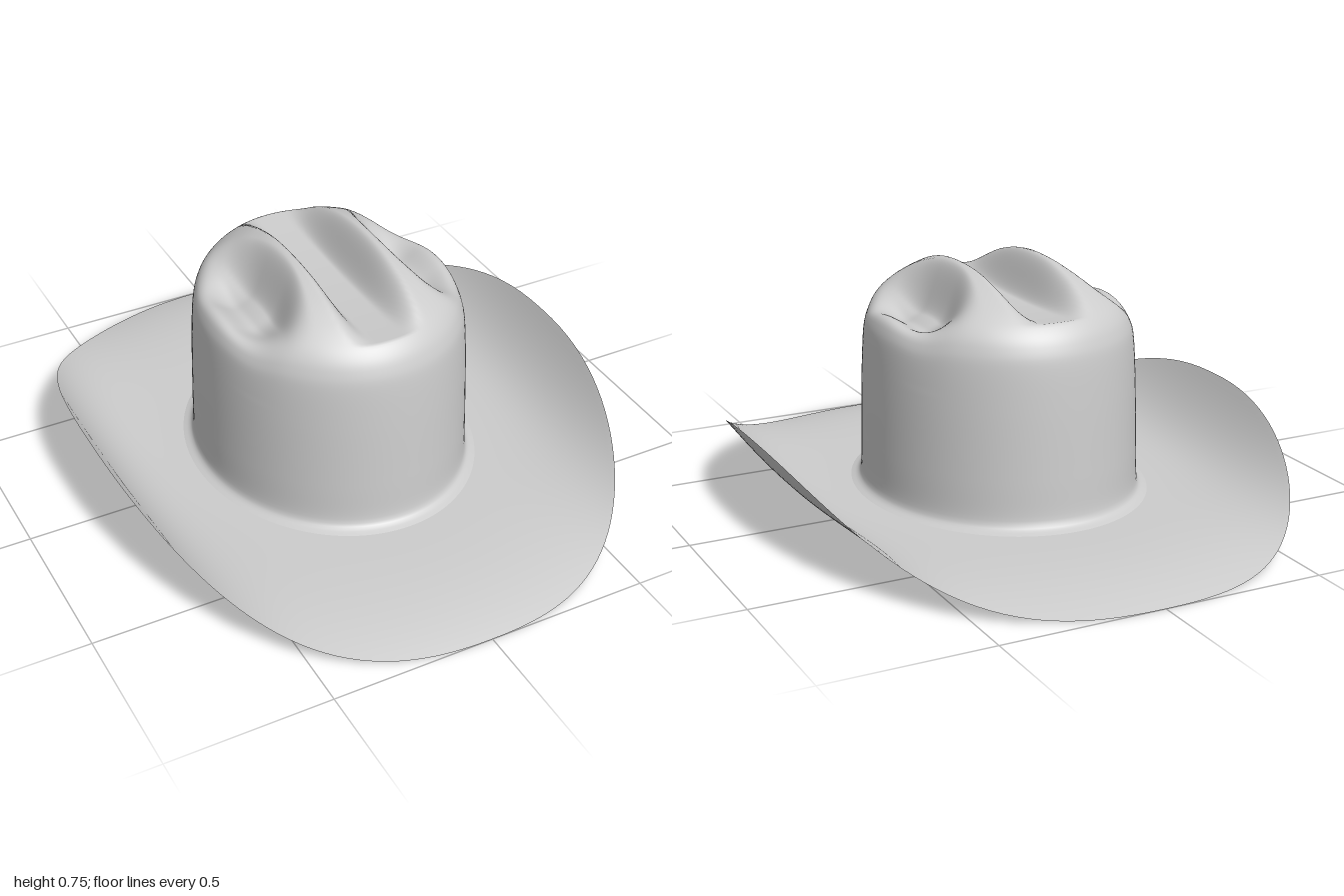
import * as THREE from 'three';

const { smoothstep, lerp } = THREE.MathUtils;
const SEGMENTS = 144;

// Closed rings of points, joined into a smooth sheet; point(t, angle) with t = 0..1 going outward
function ringSurface(rings, point) {
  const positions = [], index = [];
  for (let i = 0; i <= rings; i++) {
    for (let j = 0; j < SEGMENTS; j++) {
      positions.push(...point(i / rings, (j / SEGMENTS) * Math.PI * 2));
    }
  }
  for (let i = 0; i < rings; i++) {
    for (let j = 0; j < SEGMENTS; j++) {
      const k = (j + 1) % SEGMENTS;
      const a = i * SEGMENTS + j, b = i * SEGMENTS + k;
      index.push(a, b, a + SEGMENTS, b, b + SEGMENTS, a + SEGMENTS);
    }
  }
  const geometry = new THREE.BufferGeometry();
  geometry.setAttribute('position', new THREE.Float32BufferAttribute(positions, 3));
  geometry.setIndex(index);
  geometry.computeVertexNormals();
  return geometry;
}

// Crown profile: relative radius and height, from the top down to the flare at the brim
const profile = new THREE.SplineCurve([
  [0.002, 0.762], [0.32, 0.752], [0.55, 0.722], [0.72, 0.685], [0.84, 0.648],
  [0.91, 0.615], [0.95, 0.58], [0.975, 0.53], [0.99, 0.4], [1, 0.2],
  [1.005, 0.09], [1.025, 0.062], [1.08, 0.05],
].map(([r, y]) => new THREE.Vector2(r, y)));
profile.arcLengthDivisions = 600;

// Pressed creases of the crown: a long central gutter and a hollow on each side
function crease(x, y, z) {
  if (y < 0.45) return y;
  const ax = Math.abs(x), az = Math.abs(z);
  const start = 0.14 + 0.7 * z * z;
  const hollow = smoothstep(ax, start, start + 0.085)
    * (1 - smoothstep(ax, 0.26, 0.4))
    * (1 - smoothstep(az, 0.06, 0.3));
  const gutter = 1 - smoothstep(ax, 0.045, 0.13);
  const floor = 0.625 + 0.12 * z * z;
  return lerp(y, Math.min(y, floor), gutter) - 0.13 * hollow;
}

function crownPoint(t, angle) {
  const p = profile.getPointAt(t);
  const depth = 0.465 + 0.02 * Math.max(0, 1 - p.y / 0.6);
  const x = 0.41 * p.x * Math.cos(angle);
  const z = depth * p.x * Math.sin(angle);
  return [x, crease(x, p.y, z), z];
}

// Brim: sides curl up, front and back dip
function brimPoint(t, angle) {
  const c = Math.cos(angle), s = Math.sin(angle);
  const rounded = (v) => Math.sign(v) * Math.abs(v) ** (2 / 2.3);
  const edgeX = rounded(c), edgeZ = rounded(s);
  const edgeY = 0.28 * edgeX ** 4;
  return [
    lerp(0.41 * 1.08 * c, 0.785 * edgeX, t),
    lerp(0.05, edgeY, t ** 3),
    lerp(0.483 * 1.08 * s, edgeZ, t),
  ];
}

export function createModel() {
  const felt = new THREE.MeshStandardMaterial({ color: 0xcccccc, side: THREE.DoubleSide });
  felt.name = 'grey felt';

  const hat = new THREE.Group();
  hat.name = 'hat';
  const add = (name, geometry) => {
    const mesh = new THREE.Mesh(geometry, felt);
    mesh.name = name;
    hat.add(mesh);
  };
  add('crown', ringSurface(110, crownPoint));
  add('brim', ringSurface(28, brimPoint));
  return hat;
}
